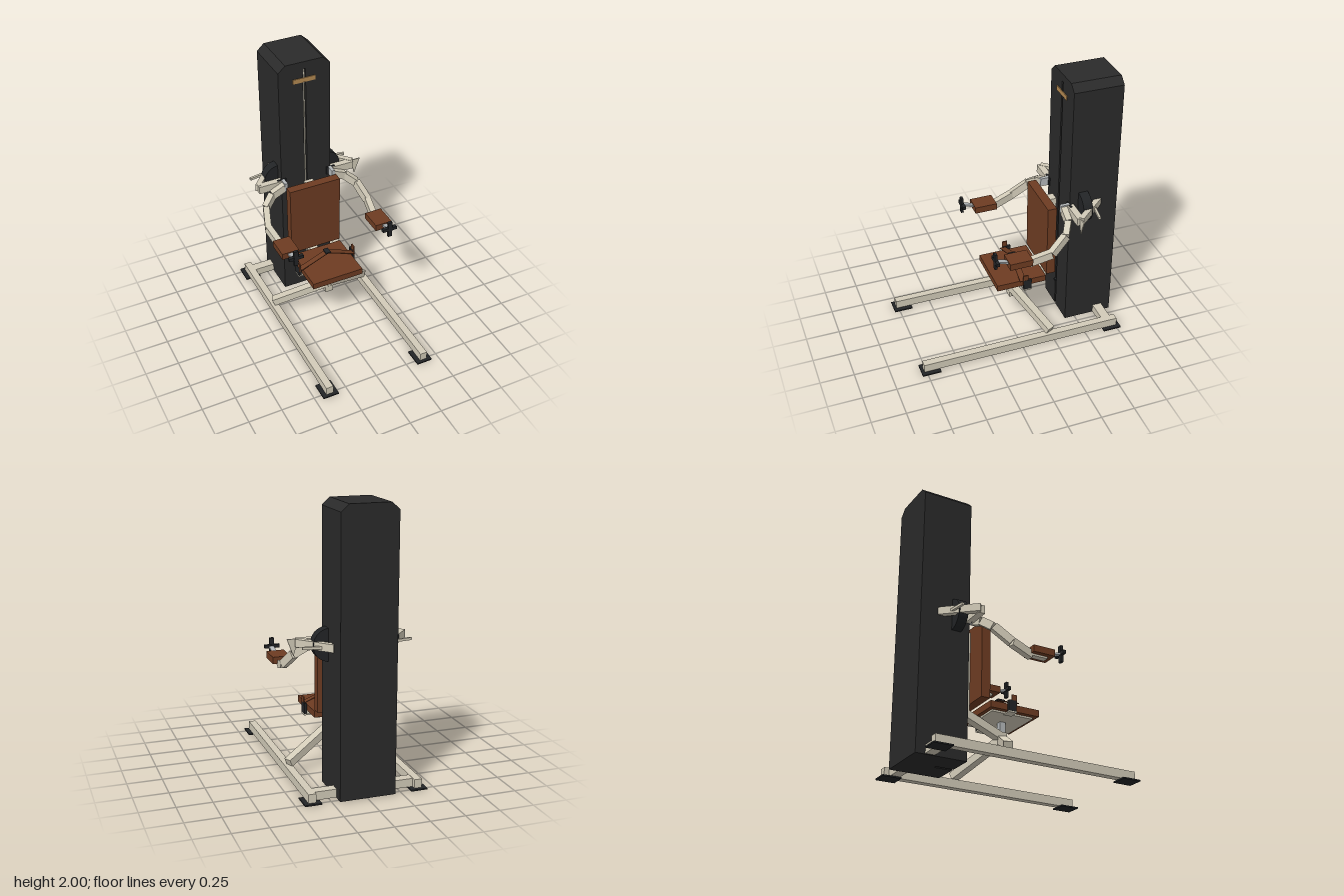
import * as THREE from 'three';

const mat = (name, color, side = THREE.FrontSide) => {
  const m = new THREE.MeshStandardMaterial({ color, side });
  m.name = name;
  return m;
};

export function createModel() {
  const root = new THREE.Group();
  root.name = 'chestPressMachine';
  const shroud = mat('charcoal shroud', 0x2a2a2a);
  const rubber = mat('black rubber', 0x222426);
  const cream = mat('cream steel', 0xd2cbb8, THREE.DoubleSide);
  const leather = mat('brown leather', 0x6e3c22, THREE.DoubleSide);
  const chrome = mat('chrome', 0xb4b8ba);
  const brass = mat('brass', 0xb58a52);

  const add = (name, geo, material, parent = root) => {
    const m = new THREE.Mesh(geo, material);
    m.name = name;
    parent.add(m);
    return m;
  };
  // Box given by its extents on each axis
  const box = (name, material, [x0, x1], [y0, y1], [z0, z1], parent = root) => {
    const m = add(name, new THREE.BoxGeometry(x1 - x0, y1 - y0, z1 - z0), material, parent);
    m.position.set((x0 + x1) / 2, (y0 + y1) / 2, (z0 + z1) / 2);
    return m;
  };
  // Square tube between two points
  const beam = (name, material, a, b, w, h = w, parent = root) => {
    const p = new THREE.Vector3(...a), q = new THREE.Vector3(...b);
    const m = add(name, new THREE.BoxGeometry(w, h, p.distanceTo(q)), material, parent);
    m.position.copy(p).add(q).multiplyScalar(0.5);
    m.lookAt(q);
    return m;
  };
  // Upright outline pushed along z
  const slab = (name, material, pts, z0, z1) => {
    const shape = new THREE.Shape(pts.map(([x, y]) => new THREE.Vector2(x, y)));
    const geo = new THREE.ExtrudeGeometry(shape, { depth: z1 - z0, bevelEnabled: false });
    return add(name, geo.translate(0, 0, z0), material);
  };

  // Weight tower: chamfered rear cover and two front covers with a slot between
  slab('towerRear', shroud, [[-0.2, 0.005], [0.2, 0.005], [0.2, 1.95], [0.145, 2], [-0.145, 2], [-0.2, 1.95]], -0.79, -0.55);
  slab('towerFrontLeft', shroud, [[0.01, 0.005], [0.2, 0.005], [0.2, 1.95], [0.145, 2], [0.01, 2]], -0.55, -0.42);
  slab('towerFrontRight', shroud, [[-0.2, 0.005], [-0.01, 0.005], [-0.01, 2], [-0.145, 2], [-0.2, 1.95]], -0.55, -0.42);
  box('towerFrontCap', shroud, [-0.01, 0.01], [1.945, 2], [-0.55, -0.42]);
  box('cable', cream, [-0.004, 0.004], [0.25, 1.945], [-0.436, -0.428]);
  box('towerPlaque', brass, [-0.09, 0.085], [1.842, 1.876], [-0.42, -0.414]);
  box('weightPin', rubber, [-0.012, 0.012], [0.23, 0.245], [-0.45, -0.408]);
  for (let i = 0; i < 7; i++) {
    const y = 0.03 + i * 0.027;
    box('weightPlate', rubber, [-0.01, 0.01], [y, y + 0.018], [-0.5, -0.43]);
  }

  // Base cross member
  box('rearCrossbar', cream, [-0.37, 0.37], [0.01, 0.07], [-0.72, -0.65]);

  // Seat column and back support
  box('seatPost', cream, [-0.032, 0.032], [0.2, 0.33], [-0.075, -0.025]);
  box('seatSlider', chrome, [-0.022, 0.022], [0.3, 0.41], [-0.072, -0.03]);
  beam('backSupportArm', cream, [0, 0.3, -0.06], [0, 0.425, -0.36], 0.065, 0.055);
  box('backPost', cream, [-0.035, 0.035], [0.43, 1.02], [-0.387, -0.322]);
  box('backrest', leather, [-0.205, 0.2], [0.48, 1.05], [-0.322, -0.255]);
  box('seat', leather, [-0.205, 0.2], [0.42, 0.468], [-0.25, 0.13]);
  box('seatPan', cream, [-0.17, 0.17], [0.407, 0.42], [-0.22, 0.1]);

  // Lap belt and buckle
  box('beltBuckle', rubber, [-0.022, 0.018], [0.566, 0.576], [-0.09, -0.035]);

  for (const s of [1, -1]) {
    const X = (a, b) => (s > 0 ? [a, b] : [-b, -a]);
    const P = (x, y, z) => [s * x, y, z];
    const side = new THREE.Group();
    side.name = s > 0 ? 'leftSide' : 'rightSide';
    root.add(side);

    // Floor rail with feet, and the diagonal seat leg
    box('floorRail', cream, X(0.357, 0.411), [0.01, 0.073], [-0.755, 0.768], side);
    for (const z of [0.65, -0.78]) box('foot', rubber, X(0.323, 0.443), [0, 0.01], [z, z + 0.14], side);
    beam('seatLeg', cream, P(0.385, 0.095, -0.22), P(0.01, 0.28, -0.05), 0.06, 0.055, side);

    // Belt strap with its side anchor
    beam('belt', leather, P(0.222, 0.478, -0.062), P(0, 0.568, -0.062), 0.046, 0.006, side);
    box('beltEnd', leather, X(0.222, 0.232), [0.45, 0.53], [-0.1, -0.06], side);
    box('beltAnchor', rubber, X(0.215, 0.234), [0.41, 0.488], [-0.125, -0.065], side);
    box('anchorPlate', cream, X(0.16, 0.235), [0.399, 0.409], [-0.125, -0.065], side);

    // Cam wheel
    const cam = add('cam', new THREE.CylinderGeometry(0.115, 0.115, 0.07, 28), rubber, side);
    cam.rotation.x = Math.PI / 2;
    cam.position.set(s * 0.193, 1.033, -0.52);

    // Fixed pivot frame on the tower
    beam('pivotBrace', cream, P(0.19, 1.035, -0.65), P(0.385, 1.035, -0.43), 0.04, 0.055, side);
    box('pivotBar', cream, X(0.2, 0.385), [1.0, 1.06], [-0.45, -0.4], side);
    beam('braceStrut', cream, P(0.2, 1.03, -0.6), P(0.39, 1.03, -0.57), 0.018, 0.018, side);
    box('hingeBracket', chrome, X(0.18, 0.205), [1.0, 1.065], [-0.42, -0.35], side);
    box('hingeMount', rubber, X(0.165, 0.235), [1.0, 1.065], [-0.425, -0.41], side);

    // Jointed press arm
    const path = [P(0.19, 1.03, -0.375), P(0.295, 0.985, -0.372), P(0.37, 0.925, -0.325),
      P(0.408, 0.825, -0.205), P(0.383, 0.775, -0.04)];
    for (let i = 0; i < path.length - 1; i++) beam('pressArm', cream, path[i], path[i + 1], 0.046, 0.058, side);
    box('padPlate', cream, X(0.357, 0.405), [0.768, 0.784], [-0.05, 0.08], side);
    box('armPad', leather, X(0.31, 0.44), [0.782, 0.832], [-0.05, 0.12], side);

    // Crossed hand grip
    beam('gripRod', chrome, P(0.38, 0.805, 0.08), P(0.38, 0.84, 0.2), 0.035, 0.014, side);
    box('gripUpright', rubber, X(0.36, 0.392), [0.78, 0.905], [0.198, 0.218], side);
    box('gripBar', rubber, X(0.318, 0.43), [0.83, 0.855], [0.192, 0.217], side);
  }

  // Triangular stop plate on the left pivot
  slab('stopPlate', cream, [[0.37, 1.06], [0.405, 0.94], [0.45, 1.06]], -0.428, -0.42);
  return root;
}
